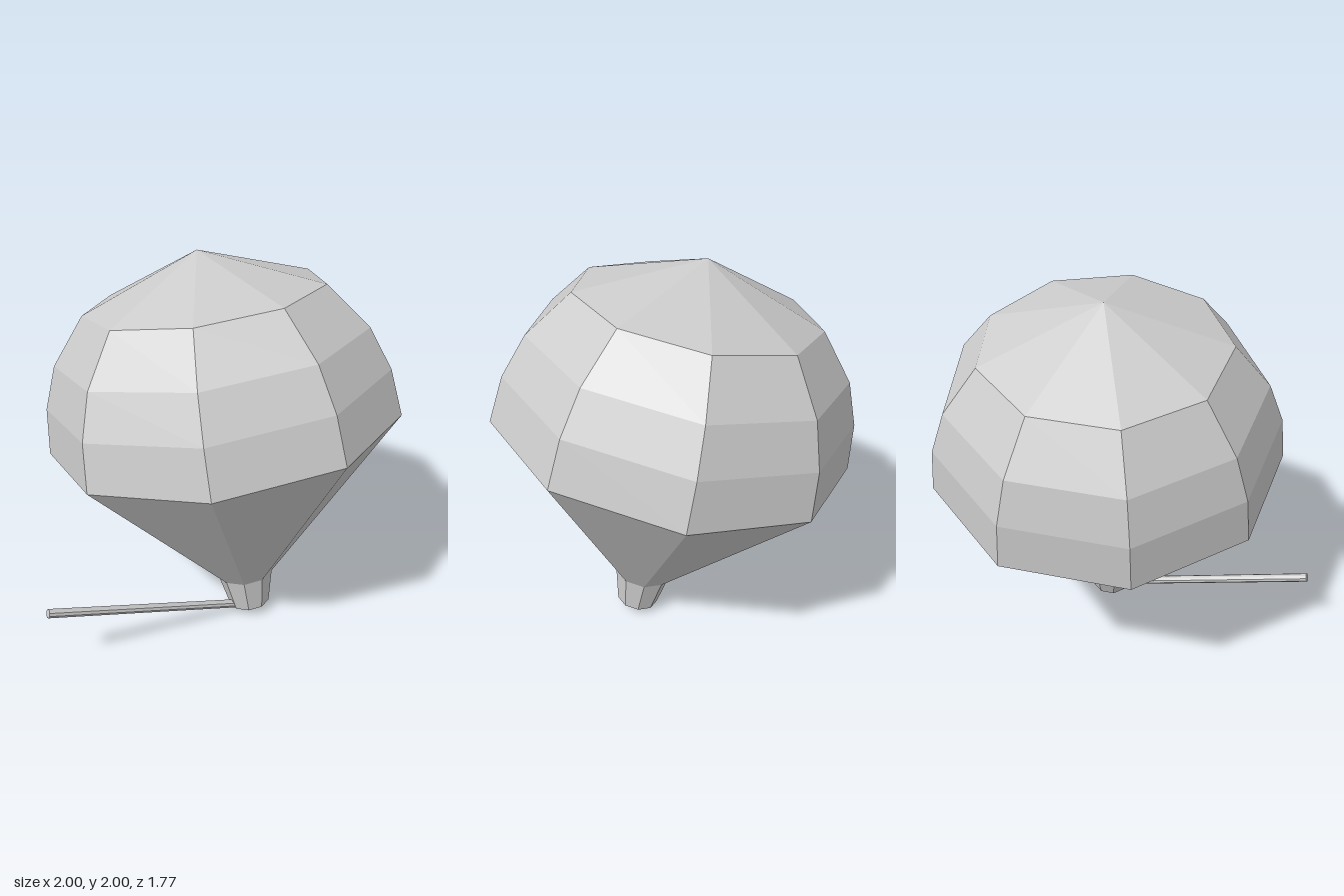
import * as THREE from 'three';

const SIDES = 9;

export function createModel() {
  const model = new THREE.Group();
  const material = new THREE.MeshStandardMaterial({
    color: 0xcccccc, flatShading: true, side: THREE.DoubleSide,
  });

  // Faceted shell turned from [radius, height] pairs, with a corner on +x
  function turned(name, profile) {
    const points = profile.map(([r, h]) => new THREE.Vector2(r, h));
    const mesh = new THREE.Mesh(new THREE.LatheGeometry(points, SIDES, Math.PI / 2), material);
    mesh.name = name;
    return mesh;
  }

  // Leaning balloon, with its origin at the centre of the widest ring
  const balloon = new THREE.Group();
  balloon.name = 'balloon';
  balloon.position.set(0.09, 1.115, 0.003);
  const axis = new THREE.Vector3(-0.072, 1, -0.19).normalize();
  balloon.quaternion.setFromUnitVectors(new THREE.Vector3(0, 1, 0), axis);
  balloon.add(
    turned('dome', [[0.91, 0], [0.875, 0.24], [0.79, 0.455], [0.605, 0.68], [0, 0.903]]),
    turned('lowerCone', [[0.153, -0.9], [0.91, 0]]),
    turned('neck', [[0.112, -1.095], [0.153, -0.9]]), // open at the bottom
  );
  model.add(balloon);

  // Thin rod reaching out sideways from the mouth of the neck
  const start = new THREE.Vector3(0.158, 0.025, 0.215);
  const end = new THREE.Vector3(-0.993, 0.422, 0.231);
  const along = end.clone().sub(start);
  const rod = new THREE.Mesh(new THREE.CylinderGeometry(0.023, 0.023, along.length(), SIDES), material);
  rod.name = 'rod';
  rod.position.copy(start).add(end).multiplyScalar(0.5);
  rod.quaternion.setFromUnitVectors(new THREE.Vector3(0, 1, 0), along.normalize());
  model.add(rod);

  return model;
}
